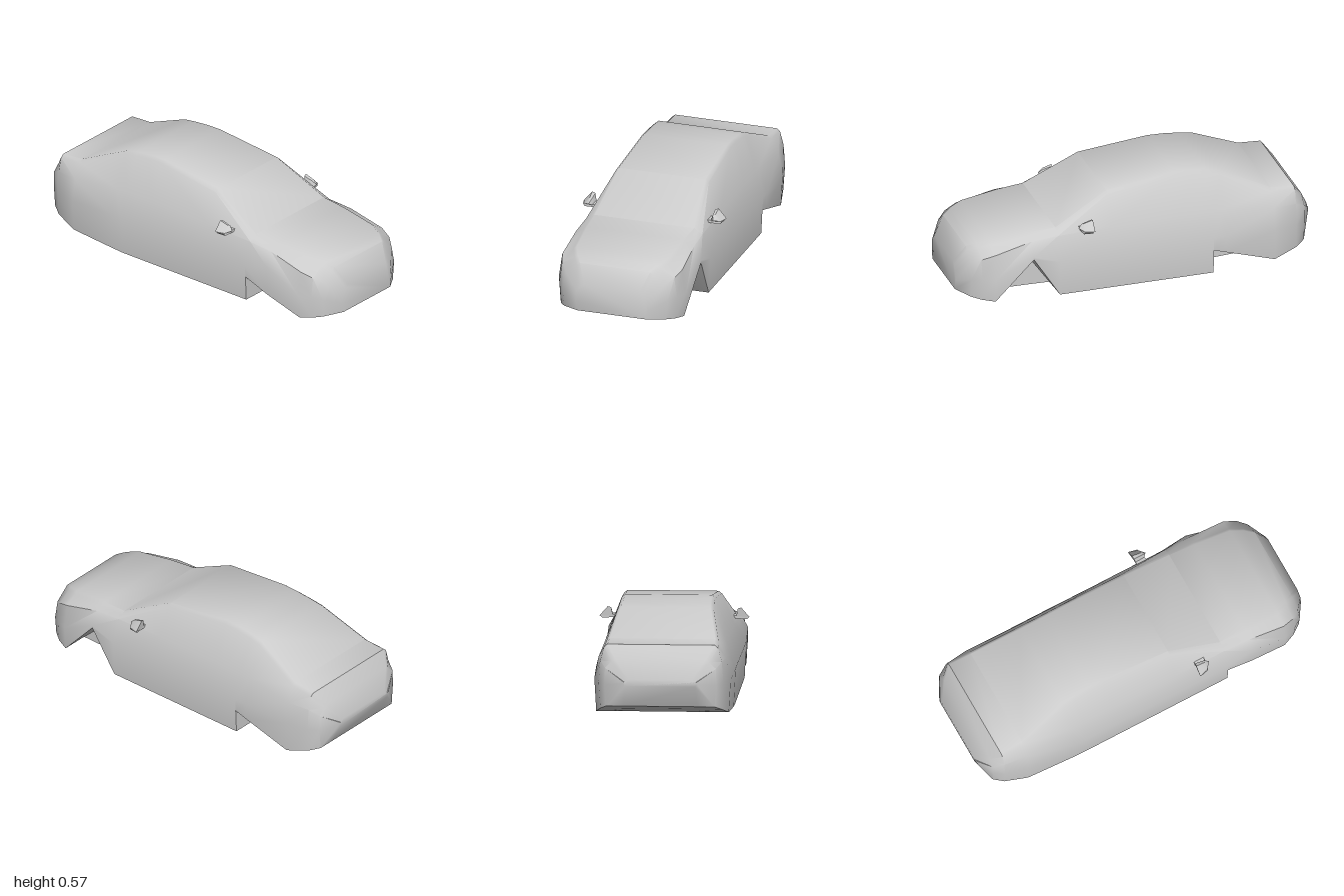
import * as THREE from 'three';
import { toCreasedNormals } from 'three/addons/utils/BufferGeometryUtils.js';
import { ConvexGeometry } from 'three/addons/geometries/ConvexGeometry.js';

const material = new THREE.MeshStandardMaterial({ color: 0xcccccc });

// Cross-sections from nose to tail:
// z, floor y, sill x, waist y, shoulder x, shoulder y, top edge x, top y
const stations = [
  [1.0, 0.035, 0.195, 0.09, 0.2, 0.15, 0.16, 0.19],
  [0.94, 0.025, 0.29, 0.13, 0.28, 0.22, 0.2, 0.287],
  [0.89, 0.015, 0.325, 0.14, 0.32, 0.25, 0.23, 0.31],
  [0.82, 0.005, 0.352, 0.14, 0.342, 0.275, 0.26, 0.327],
  [0.61, 0.003, 0.366, 0.25, 0.335, 0.325, 0.275, 0.355],
  [0.46, 0, 0.367, 0.2, 0.332, 0.335, 0.285, 0.365],
  [0.16, 0, 0.367, 0.2, 0.332, 0.345, 0.246, 0.525],
  [-0.23, 0, 0.367, 0.21, 0.33, 0.35, 0.235, 0.57],
  [-0.32, 0, 0.367, 0.21, 0.33, 0.35, 0.235, 0.567],
  [-0.41, 0, 0.367, 0.21, 0.33, 0.35, 0.238, 0.557],
  [-0.48, 0.005, 0.367, 0.21, 0.33, 0.35, 0.242, 0.545],
  [-0.76, 0.022, 0.358, 0.2, 0.345, 0.32, 0.285, 0.42],
  [-0.89, 0.06, 0.327, 0.2, 0.328, 0.32, 0.29, 0.41],
  [-0.945, 0.082, 0.292, 0.2, 0.3, 0.29, 0.245, 0.34],
  [-1.0, 0.2, 0.19, 0.215, 0.2, 0.225, 0.17, 0.235],
];

// Sections with an upright wheel-well wall are used twice
const sections = stations.flatMap((s) => ([0.46, -0.41].includes(s[0]) ? [s, s] : [s]));

// Wheel openings, by section index: raised outer lip and inner ceiling heights
const arches = {
  left: { 4: [0.235, 0.2], 11: [0.135, 0.135], 12: [0.113, 0.113] },
  right: { 4: [0.08, 0.1], 5: [0.14, 0.14], 11: [0, 0.13], 12: [0.005, 0.11] },
};

// One half of a section, from floor to roof
function halfRing(i, side) {
  const [z, floorY, sillX, waistY, shoulderX, shoulderY, topX, topY] = sections[i];
  const [lipY, innerY] = arches[side][i] || [floorY, floorY];
  const waistX = sillX + 0.01;
  const innerX = Math.min(0.2, sillX);
  const lipX = THREE.MathUtils.mapLinear(lipY, floorY, waistY, sillX, waistX);
  const sign = side === 'left' ? 1 : -1;
  return [
    [innerX, floorY], [innerX, innerY], [lipX, lipY], [waistX, waistY],
    [shoulderX, shoulderY], [topX + 0.018, topY - 0.015], [topX, topY],
  ].map(([x, y]) => new THREE.Vector3(sign * x, y, z));
}

function bodyGeometry() {
  const positions = [];
  const tri = (a, b, c) => {
    if (new THREE.Triangle(a, b, c).getArea() < 1e-7) return;
    for (const p of [a, b, c]) positions.push(p.x, p.y, p.z);
  };
  const rings = sections.map((_, i) => [...halfRing(i, 'left'), ...halfRing(i, 'right').reverse()]);
  const n = rings[0].length;

  // Skin between neighbouring sections, with mirrored diagonals on the two sides
  for (let i = 0; i < rings.length - 1; i++) {
    for (let j = 0; j < n; j++) {
      const k = (j + 1) % n;
      const a = rings[i][j], b = rings[i][k], c = rings[i + 1][k], d = rings[i + 1][j];
      if (j < n / 2) { tri(a, d, c); tri(a, c, b); }
      else { tri(a, d, b); tri(b, d, c); }
    }
  }

  // Flat nose and tail faces
  const nose = rings[0], tail = rings[rings.length - 1];
  for (let j = 1; j < n - 1; j++) {
    tri(nose[0], nose[j], nose[j + 1]);
    tri(tail[0], tail[j + 1], tail[j]);
  }
  const geometry = new THREE.BufferGeometry();
  geometry.setAttribute('position', new THREE.Float32BufferAttribute(positions, 3));
  return toCreasedNormals(geometry, 0.75);
}

function convex(points, sign) {
  const vectors = points.map(([x, y, z]) => new THREE.Vector3(sign * x, y, z));
  return toCreasedNormals(new ConvexGeometry(vectors), 0.7);
}

// Door mirror: flat arm with a faceted housing on top
function doorMirror(sign) {
  const group = new THREE.Group();
  group.name = sign > 0 ? 'leftMirror' : 'rightMirror';
  const arm = new THREE.Mesh(convex([
    [0.315, 0.356, 0.34], [0.315, 0.356, 0.28], [0.315, 0.371, 0.34], [0.315, 0.371, 0.28],
    [0.385, 0.35, 0.33], [0.39, 0.35, 0.28], [0.405, 0.364, 0.28], [0.395, 0.364, 0.325],
  ], sign), material);
  arm.name = 'mirrorArm';
  const housing = new THREE.Mesh(convex([
    [0.333, 0.364, 0.28], [0.342, 0.41, 0.275], [0.36, 0.415, 0.272], [0.405, 0.364, 0.272],
    [0.336, 0.364, 0.335], [0.345, 0.395, 0.33], [0.358, 0.4, 0.325], [0.355, 0.375, 0.352],
    [0.39, 0.364, 0.325],
  ], sign), material);
  housing.name = 'mirrorHousing';
  group.add(arm, housing);
  return group;
}

export function createModel() {
  const car = new THREE.Group();
  car.name = 'car';
  const body = new THREE.Mesh(bodyGeometry(), material);
  body.name = 'body';
  car.add(body, doorMirror(1), doorMirror(-1));
  return car;
}
